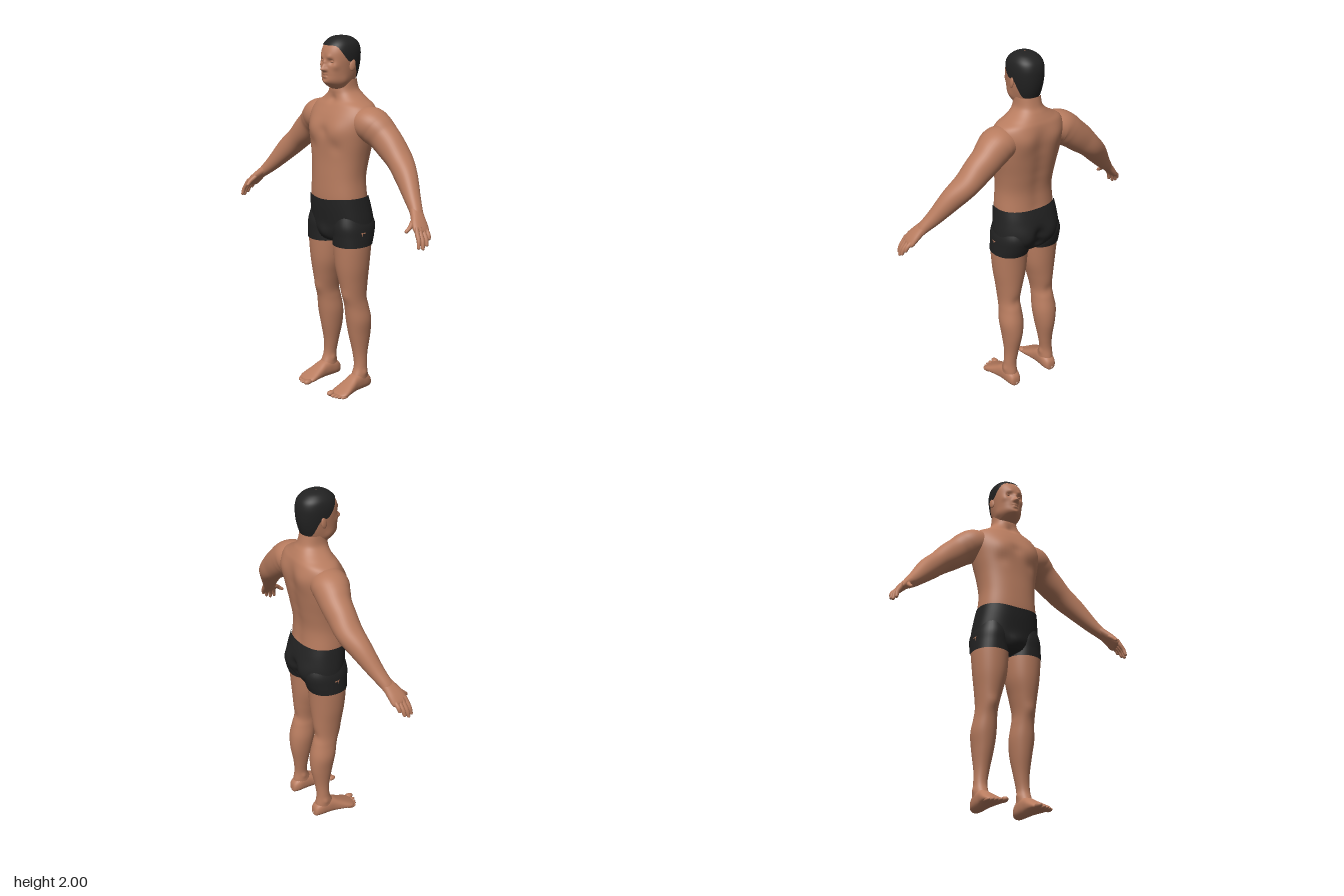
import * as THREE from 'three';

const skin = new THREE.MeshStandardMaterial({ color: 0xb87c5f });
skin.name = 'skin';
const black = new THREE.MeshStandardMaterial({ color: 0x222222 });
black.name = 'black';

const Y = new THREE.Vector3(0, 1, 0), Z = new THREE.Vector3(0, 0, 1);
const { smoothstep, clamp } = THREE.MathUtils;

// Catmull-Rom blend between sections [x, y, z, halfWidth, halfDepth]
function sectionAt(secs, s) {
  const i = Math.min(Math.floor(s), secs.length - 2), t = s - i;
  const at = k => secs[clamp(k, 0, secs.length - 1)];
  const [p, q, r, o] = [at(i - 1), at(i), at(i + 1), at(i + 2)];
  return q.map((v, k) => v + 0.5 * t * (r[k] - p[k]
    + t * (2 * p[k] - 5 * v + 4 * r[k] - o[k] + t * (3 * (v - r[k]) + o[k] - p[k]))));
}

// Soft pushes [x, y, z, radius, dx, dy, dz]
function push(p, bumps) {
  const q = p.clone();
  for (const [x, y, z, r, dx, dy, dz] of bumps) {
    const d2 = (p.x - x) ** 2 + (p.y - y) ** 2 + (p.z - z) ** 2;
    const k = Math.exp(-d2 / (r * r));
    q.x += dx * k; q.y += dy * k; q.z += dz * k;
  }
  return q;
}
const pair = list => list.flatMap(([x, y, z, r, dx, dy, dz]) =>
  [[x, y, z, r, dx, dy, dz], [-x, y, z, r, -dx, dy, dz]]);

// Smooth skin over sections; dir fixes the ring plane, otherwise rings follow the path
function loft(name, mat, secs, { dir, ref = Z, p = 2, segs = 40, sub = 6, bumps = [], start = () => 0 } = {}) {
  const last = secs.length - 1, rows = last * sub, pos = [], idx = [];
  for (let j = 0; j <= rows; j++) {
    for (let i = 0; i < segs; i++) {
      const a = i / segs * Math.PI * 2, c = Math.cos(a), n = Math.sin(a);
      const s0 = start(n), s = s0 + (last - s0) * j / rows;
      const [x, y, z, w, h] = sectionAt(secs, s);
      let t = dir;
      if (!t) {
        const A = sectionAt(secs, Math.max(s - 0.1, 0)), B = sectionAt(secs, Math.min(s + 0.1, last));
        t = new THREE.Vector3(B[0] - A[0], B[1] - A[1], B[2] - A[2]).normalize();
      }
      const v = ref.clone().addScaledVector(t, -ref.dot(t)).normalize();
      const u = v.clone().cross(t);
      const r = (Math.abs(c) ** p + Math.abs(n) ** p) ** (-1 / p);
      const point = new THREE.Vector3(x, y, z).addScaledVector(u, w * c * r).addScaledVector(v, h * n * r);
      pos.push(...push(point, bumps).toArray());
      if (j < rows) {
        const k = j * segs + i, m = j * segs + (i + 1) % segs;
        idx.push(k, m, k + segs, m, m + segs, k + segs);
      }
    }
  }
  const g = new THREE.BufferGeometry();
  g.setAttribute('position', new THREE.Float32BufferAttribute(pos, 3));
  g.setIndex(idx);
  g.computeVertexNormals();
  const mesh = new THREE.Mesh(g, mat);
  mesh.name = name;
  return mesh;
}

// Horizontal rings given as [y, halfWidth, zFront, zBack, xCentre]
const stack = rows => rows.map(([y, w, f, b, x = 0]) => [x, y, (f + b) / 2, w, (f - b) / 2]);

function ellipsoid(name, mat, [x, y, z], [a, b, c]) {
  const mesh = new THREE.Mesh(new THREE.SphereGeometry(1, 20, 14).scale(a, b, c), mat);
  mesh.position.set(x, y, z);
  mesh.name = name;
  return mesh;
}

export function createModel() {
  const model = new THREE.Group();
  model.name = 'standingMan';

  // Torso and neck, with chest, shoulder blades and spine groove
  const spine = [1.15, 1.22, 1.29, 1.36, 1.43, 1.5, 1.57].map(y => [0, y, -0.15, 0.045, 0, 0, 0.008]);
  model.add(loft('torso', skin, stack([
    [1.08, .172, .118, -.135], [1.14, .170, .123, -.127], [1.24, .163, .121, -.124],
    [1.34, .173, .117, -.140], [1.44, .193, .116, -.158], [1.52, .208, .110, -.165],
    [1.58, .210, .092, -.168], [1.63, .188, .066, -.160], [1.66, .138, .048, -.148],
    [1.69, .095, .040, -.132], [1.72, .073, .038, -.115], [1.77, .068, .030, -.102],
  ]), {
    dir: Y, p: 2.3, segs: 64, bumps: [...spine, [0, 1.5, .115, .03, 0, 0, -.007], [0, 1.665, .045, .025, 0, 0, -.01],
      ...pair([[.09, 1.5, .1, .065, 0, 0, .014], [.09, 1.42, .11, .035, 0, 0, -.006], [.1, 1.55, -.16, .07, 0, 0, -.014]])],
  }));

  // Head, sculpted with brow, eye sockets, nose, lips and chin
  const headRows = [
    [1.715, .052, .030, -.085], [1.74, .060, .074, -.092], [1.765, .069, .096, -.1],
    [1.80, .077, .099, -.112], [1.84, .083, .099, -.121], [1.88, .087, .099, -.125],
    [1.92, .087, .094, -.124], [1.955, .079, .077, -.112], [1.98, .059, .050, -.085],
    [1.993, .035, .022, -.055], [1.997, .001, -.015, -.017],
  ];
  model.add(loft('head', skin, stack(headRows), {
    dir: Y, p: 2.2, segs: 112, sub: 9, bumps: [
      [0, 1.83, .1, .013, 0, 0, .028], [0, 1.848, .1, .011, 0, 0, .013], [0, 1.868, .1, .01, 0, 0, .009],
      [0, 1.804, .1, .008, 0, 0, .006], [0, 1.789, .1, .008, 0, 0, .006], [0, 1.796, .1, .004, 0, 0, -.004],
      [0, 1.775, .1, .012, 0, 0, -.004], [0, 1.758, .095, .022, 0, 0, .009],
      ...pair([[.034, 1.871, .09, .016, 0, 0, -.014], [.028, 1.893, .095, .015, 0, 0, .006],
        [.013, 1.828, .1, .008, 0, 0, .01], [.012, 1.803, .1, .007, 0, 0, .004], [.012, 1.79, .1, .007, 0, 0, .004],
        [.015, 1.797, .1, .005, 0, 0, -.005], [.055, 1.845, .07, .02, .003, 0, .005], [.055, 1.77, .02, .03, .006, 0, 0]])],
  }));

  // Cropped hair: the crown of the head, cut along a hairline
  const ringAtY = y => {
    const i = headRows.findIndex(r => r[0] > y);
    return i - 1 + (y - headRows[i - 1][0]) / (headRows[i][0] - headRows[i - 1][0]);
  };
  model.add(loft('hair', black, stack(headRows.map(([y, w, f, b]) => [y + .003, w + .003, f + .003, b - .003])), {
    dir: Y, p: 2.2, segs: 80, sub: 4,
    start: n => ringAtY(1.77 + .095 * smoothstep(n, -.75, -.1) + .085 * smoothstep(n, .05, .88)),
  }));

  // Shorts: hips with seat and front shaping
  model.add(loft('shortsHips', black, stack([
    [.87, .06, .03, -.06], [.89, .135, .082, -.115], [.94, .192, .104, -.150], [1.0, .194, .113, -.160],
    [1.08, .184, .123, -.150], [1.14, .175, .128, -.133],
  ]), {
    dir: Y, p: 2.3, segs: 72, bumps: [[0, 1.14, .13, .11, 0, -.014, 0], [0, .93, .1, .04, 0, 0, .016],
      [0, .99, -.16, .035, 0, 0, .022], [0, .93, -.15, .035, 0, 0, .025],
      ...pair([[.085, .99, -.15, .06, 0, 0, -.012]])],
  }));

  for (const s of [1, -1]) {
    const side = secs => secs.map(([x, ...rest]) => [s * x, ...rest]);
    const at = (x, y, z) => [s * x, y, z];
    const add = (...args) => model.add(loft(...args));

    // Eyelid and ear
    model.add(ellipsoid('eyelid', skin, at(.034, 1.871, .078), [.014, .007, .009]));
    const ear = ellipsoid('ear', skin, at(.088, 1.848, -.02), [.008, .031, .018]);
    ear.rotation.set(-.2, s * -.25, 0);
    model.add(ear);

    // Arm from shoulder to wrist
    add('arm', skin, side([
      [.10, 1.55, -.045, .07, .085], [.19, 1.547, -.048, .09, .1], [.24, 1.52, -.058, .092, .092],
      [.285, 1.485, -.066, .084, .082], [.34, 1.44, -.066, .079, .076], [.41, 1.378, -.062, .066, .072],
      [.485, 1.307, -.036, .061, .058], [.57, 1.213, .002, .042, .042], [.62, 1.163, .026, .031, .035],
      [.64, 1.142, .036, .024, .036],
    ]), { p: 2.1 });

    // Hand: palm, four fingers and thumb
    add('palm', skin, side([
      [.61, 1.172, .022, .027, .034], [.64, 1.145, .038, .024, .038], [.675, 1.108, .056, .021, .047],
      [.70, 1.078, .066, .016, .044], [.708, 1.068, .069, .002, .01],
    ]), { p: 2.4, segs: 28 });
    const fingers = [[.700, 1.085, .1, .733, 1.004, .118], [.703, 1.082, .08, .742, .998, .096],
      [.702, 1.083, .058, .743, 1.013, .07], [.696, 1.09, .036, .735, 1.04, .045], [.648, 1.128, .075, .657, 1.078, .138]];
    for (const [x, y, z, X, Yt, Zt] of fingers) {
      const point = (t, r, out = 0) => [x + (X - x) * t + out, y + (Yt - y) * t, z + (Zt - z) * t, r, r];
      add('finger', skin, side([point(-.25, .01), point(.1, .0125), point(.5, .0115, .006),
        point(.85, .0095), point(.96, .007), point(1, .0005)]), { segs: 14, sub: 3 });
    }

    // Leg with knee and calf
    add('leg', skin, side(stack([
      [.03, .038, .02, -.1, .13], [.08, .04, .012, -.095, .132], [.14, .036, -.011, -.087, .131],
      [.22, .041, -.008, -.096, .123], [.33, .057, .014, -.117, .118], [.42, .067, .030, -.118, .118],
      [.50, .060, .042, -.102, .116], [.56, .058, .057, -.090, .115], [.65, .072, .075, -.097, .109],
      [.75, .091, .091, -.106, .103], [.87, .1, .099, -.117, .103], [.95, .098, .1, -.13, .104],
    ])), { dir: Y, p: 2.1, bumps: [[s * .115, .575, .06, .03, 0, 0, .006], [s * .115, .56, -.09, .03, 0, 0, .006],
      [s * .17, .105, -.05, .016, s * .006, 0, 0], [s * .095, .115, -.045, .016, s * -.006, 0, 0]] });

    // Shorts leg
    add('shortsLeg', black, side(stack([
      [.868, .1025, .103, -.121, .1035], [.92, .1, .105, -.138, .1035],
      [.98, .096, .107, -.148, .102], [1.05, .075, .09, -.12, .1],
    ])), { dir: Y, p: 2.15 });

    // Foot, flat on the ground, and its toes
    add('foot', skin, side([
      [.13, .02, -.114, .004, .004], [.13, .032, -.107, .028, .03], [.13, .045, -.075, .04, .045],
      [.132, .052, -.03, .042, .052], [.134, .047, .01, .043, .047], [.137, .036, .05, .049, .036],
      [.14, .024, .095, .056, .024], [.14, .017, .122, .055, .017], [.138, .013, .14, .04, .011],
      [.137, .012, .145, .004, .003],
    ]), { dir: Z, ref: Y, p: 2.5 });
    [[.101, .148, .018], [.128, .146, .012], [.149, .140, .011], [.168, .131, .011], [.185, .119, .011]]
      .forEach(([x, z, r]) => model.add(ellipsoid('toe', skin, at(x, r * .85, z), [r, r * .85, .027])));
  }
  return model;
}
